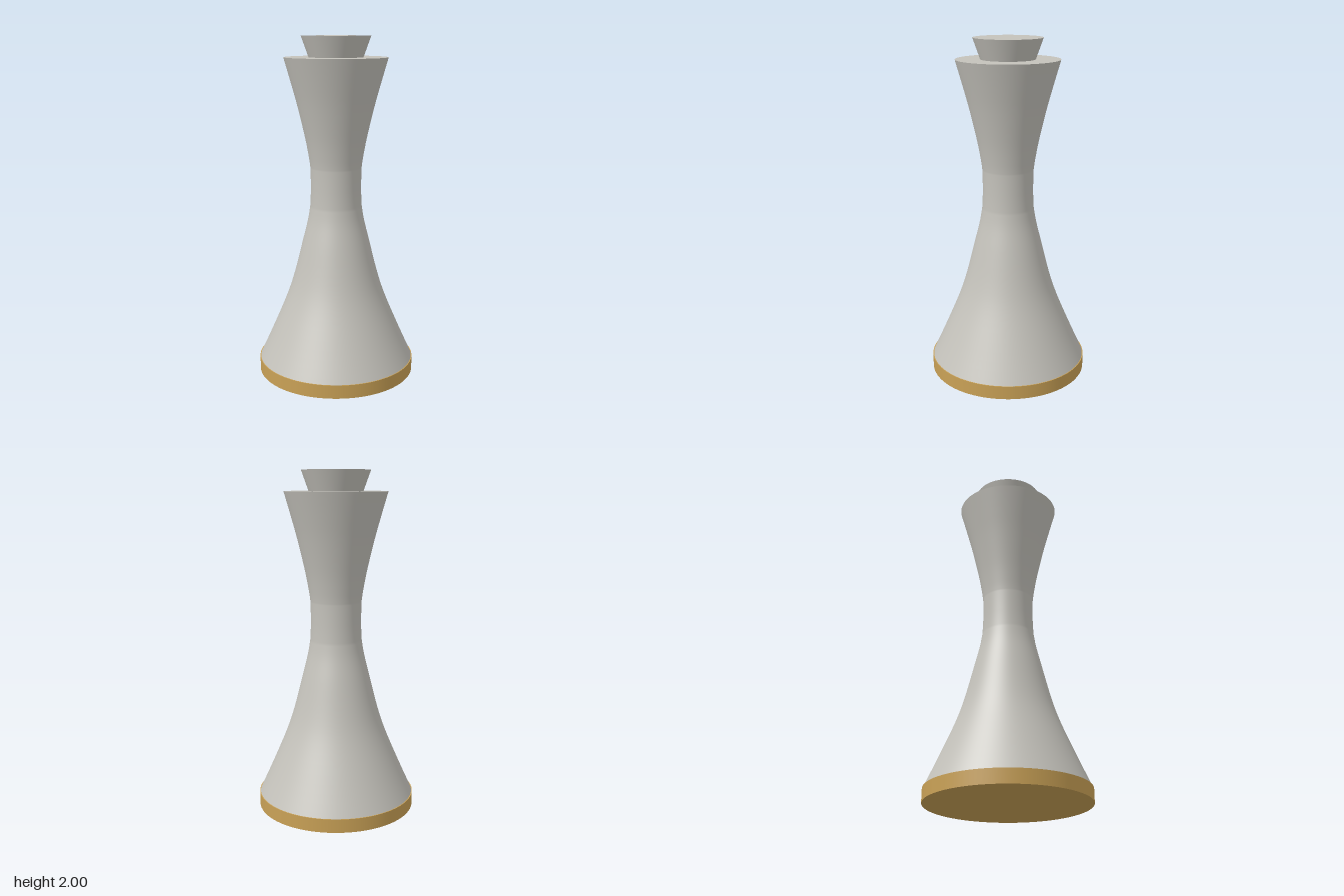
import * as THREE from 'three';

export function createModel() {
  const group = new THREE.Group();
  group.name = 'flaredPedestal';

  const stone = new THREE.MeshStandardMaterial({ color: 0xc4c2bb });
  stone.name = 'paleGrey';
  const gold = new THREE.MeshStandardMaterial({ color: 0xc9a156 });
  gold.name = 'warmGold';

  const SIDES = 96;
  const add = (name, geometry, material, y) => {
    const mesh = new THREE.Mesh(geometry, material);
    mesh.name = name;
    mesh.position.y = y;
    group.add(mesh);
    return mesh;
  };

  // Foot disc
  add('base', new THREE.CylinderGeometry(0.467, 0.467, 0.08, SIDES), gold, 0.04);

  // Body: wide skirt, straight waist, flared neck
  const pairs = (list) => list.map(([r, y]) => new THREE.Vector2(r, y));
  const skirt = new THREE.SplineCurve(pairs([
    [0.462, 0.08], [0.385, 0.25], [0.3, 0.45], [0.25, 0.6], [0.199, 0.8], [0.167, 0.93], [0.152, 1.02],
  ]));
  const neck = new THREE.SplineCurve(pairs([
    [0.15, 1.24], [0.158, 1.3], [0.18, 1.42], [0.222, 1.6], [0.26, 1.74], [0.3, 1.88],
  ]));
  const profile = [...skirt.getPoints(24), new THREE.Vector2(0.148, 1.12), ...neck.getPoints(20)];
  add('body', new THREE.LatheGeometry(profile, SIDES), stone, 0);

  // Flat top of the neck
  const rim = add('bodyTop', new THREE.CircleGeometry(0.3, SIDES), stone, 1.88);
  rim.rotation.x = -Math.PI / 2;

  // Tapered stopper
  add('stopper', new THREE.CylinderGeometry(0.2, 0.157, 0.12, SIDES, 1), stone, 1.94);

  return group;
}
